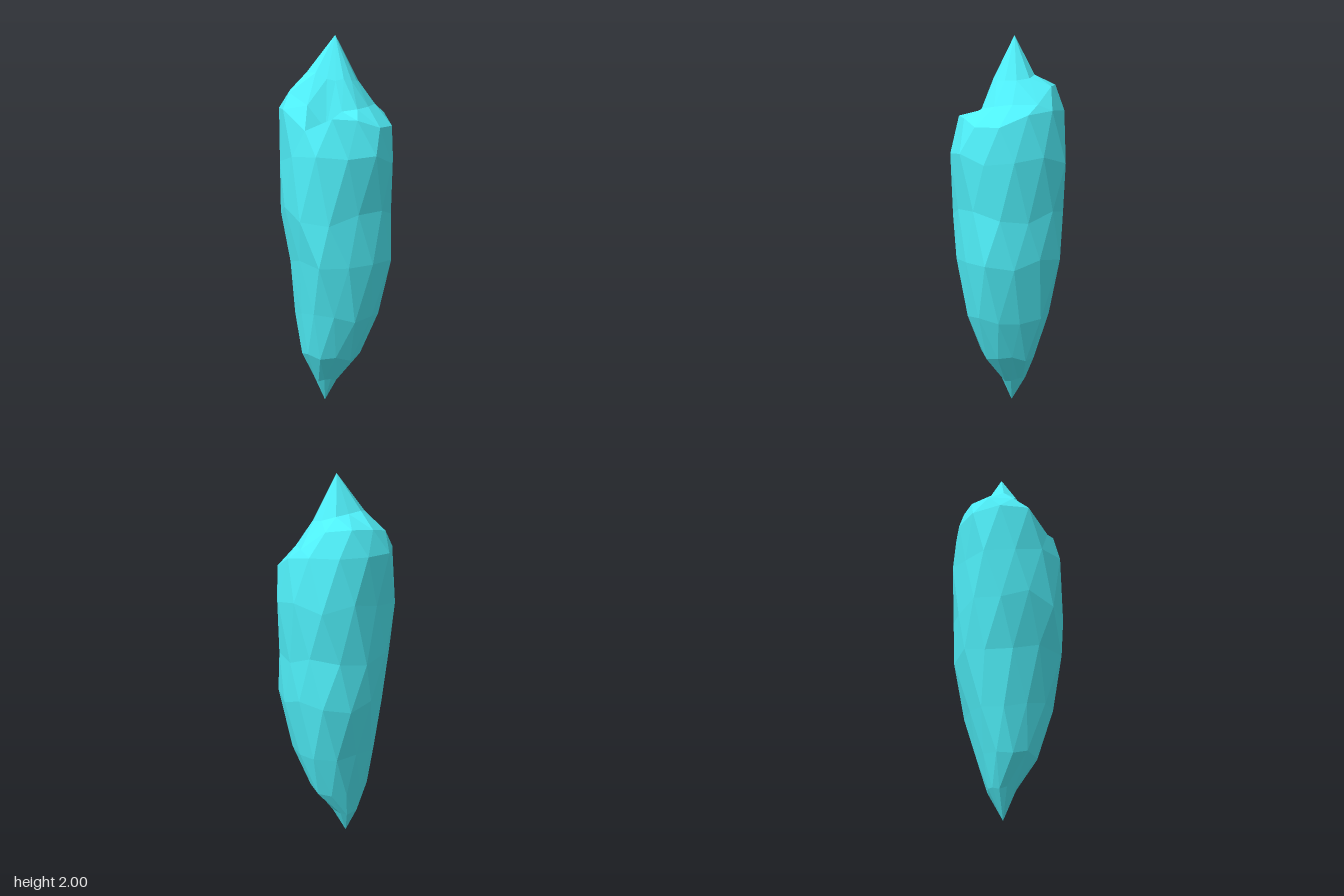
import * as THREE from 'three';

const SIDES = 12;

// Shaft cross-sections: height, x and z limits, vertical jitter, and the bulge
// of the four corners (front left, back left, back right, front right)
const SHAFT = [
  { y: 0.14, x: [-0.115, 0.02], z: [-0.12, 0.02], jitter: 0.015, bulge: [0, 0, 0, 0] },
  { y: 0.30, x: [-0.19, 0.14], z: [-0.155, 0.135], jitter: 0.02, bulge: [0, 0, 0.05, 0] },
  { y: 0.54, x: [-0.215, 0.21], z: [-0.20, 0.23], jitter: 0.03, bulge: [0.02, 0.15, 0.12, 0.02] },
  { y: 0.84, x: [-0.245, 0.27], z: [-0.265, 0.265], jitter: 0.03, bulge: [0.1, 0.09, 0.03, 0.17] },
  { y: 1.10, x: [-0.29, 0.275], z: [-0.275, 0.27], jitter: 0.04, bulge: [0.04, 0.08, 0.05, 0.09] },
  { y: 1.38, x: [-0.295, 0.30], z: [-0.295, 0.30], jitter: 0.03, bulge: [-0.02, 0.07, 0.07, 0.03] },
];

// Crown rings, counter-clockwise from the front: radius and height per corner
const CROWN = [
  { // shoulder rim
    radius: [0.24, 0.265, 0.285, 0.275, 0.285, 0.295, 0.29, 0.305, 0.305, 0.30, 0.275, 0.26],
    height: [1.58, 1.54, 1.54, 1.60, 1.62, 1.62, 1.62, 1.62, 1.63, 1.63, 1.53, 1.59],
  },
  { // foot of the peak, with the chipped ledge at the front right
    radius: [0.16, 0.17, 0.20, 0.25, 0.24, 0.25, 0.25, 0.265, 0.25, 0.195, 0.16, 0.14],
    height: [1.63, 1.64, 1.65, 1.65, 1.74, 1.75, 1.74, 1.72, 1.71, 1.65, 1.53, 1.62],
  },
  { // upper peak
    radius: [0.08, 0.09, 0.10, 0.12, 0.14, 0.14, 0.13, 0.15, 0.16, 0.12, 0.09, 0.08],
    height: [1.78, 1.77, 1.77, 1.77, 1.78, 1.80, 1.81, 1.82, 1.81, 1.81, 1.78, 1.77],
  },
];

function seeded(seed) {
  return () => {
    seed = (seed * 16807) % 2147483647;
    return seed / 2147483647;
  };
}

function crystalGeometry() {
  const rand = seeded(4217);
  const positions = [];
  const index = [];
  const ringCount = SHAFT.length + CROWN.length;
  // Every second ring is turned by half a side
  const angle = (r, i) => ((i + (r % 2) * 0.5) / SIDES) * Math.PI * 2;

  // Irregular shaft
  SHAFT.forEach(({ y, x, z, jitter, bulge }, r) => {
    for (let i = 0; i < SIDES; i++) {
      const a = angle(r, i);
      const corner = Math.sin(2 * a) ** 2 * bulge[Math.floor(i / 3)];
      let k = 1.01 + (rand() - 0.5) * 0.03 + corner;
      // Vertical groove down the back
      if (r === 5 && i === 6) k *= 0.92;
      positions.push(
        (x[0] + x[1]) / 2 + ((x[1] - x[0]) / 2) * k * Math.sin(a),
        y + (rand() - 0.5) * 2 * jitter,
        (z[0] + z[1]) / 2 + ((z[1] - z[0]) / 2) * k * Math.cos(a)
      );
    }
  });

  // Crown
  CROWN.forEach(({ radius, height }, c) => {
    for (let i = 0; i < SIDES; i++) {
      const a = angle(SHAFT.length + c, i);
      positions.push(radius[i] * Math.sin(a), height[i], radius[i] * Math.cos(a));
    }
  });

  // Pointed ends
  const bottom = ringCount * SIDES;
  const top = bottom + 1;
  positions.push(-0.055, 0, -0.045, 0.005, 2, -0.035);

  // Triangulated bands between rings
  for (let r = 0; r < ringCount - 1; r++) {
    for (let i = 0; i < SIDES; i++) {
      const j = (i + 1) % SIDES;
      const [a, b] = [r * SIDES + i, r * SIDES + j];
      const [c, d] = [a + SIDES, b + SIDES];
      if (r % 2) index.push(a, b, d, a, d, c);
      else index.push(a, b, c, c, b, d);
    }
  }

  // Caps to the points
  const last = (ringCount - 1) * SIDES;
  for (let i = 0; i < SIDES; i++) {
    const j = (i + 1) % SIDES;
    index.push(bottom, j, i, last + i, last + j, top);
  }

  const geometry = new THREE.BufferGeometry();
  geometry.setAttribute('position', new THREE.Float32BufferAttribute(positions, 3));
  geometry.setIndex(index);
  const faceted = geometry.toNonIndexed();
  faceted.computeVertexNormals();
  return faceted;
}

export function createModel() {
  const group = new THREE.Group();
  group.name = 'crystalShard';
  const material = new THREE.MeshStandardMaterial({ color: 0x4ff0fa, flatShading: true });
  const crystal = new THREE.Mesh(crystalGeometry(), material);
  crystal.name = 'crystal';
  group.add(crystal);
  return group;
}
